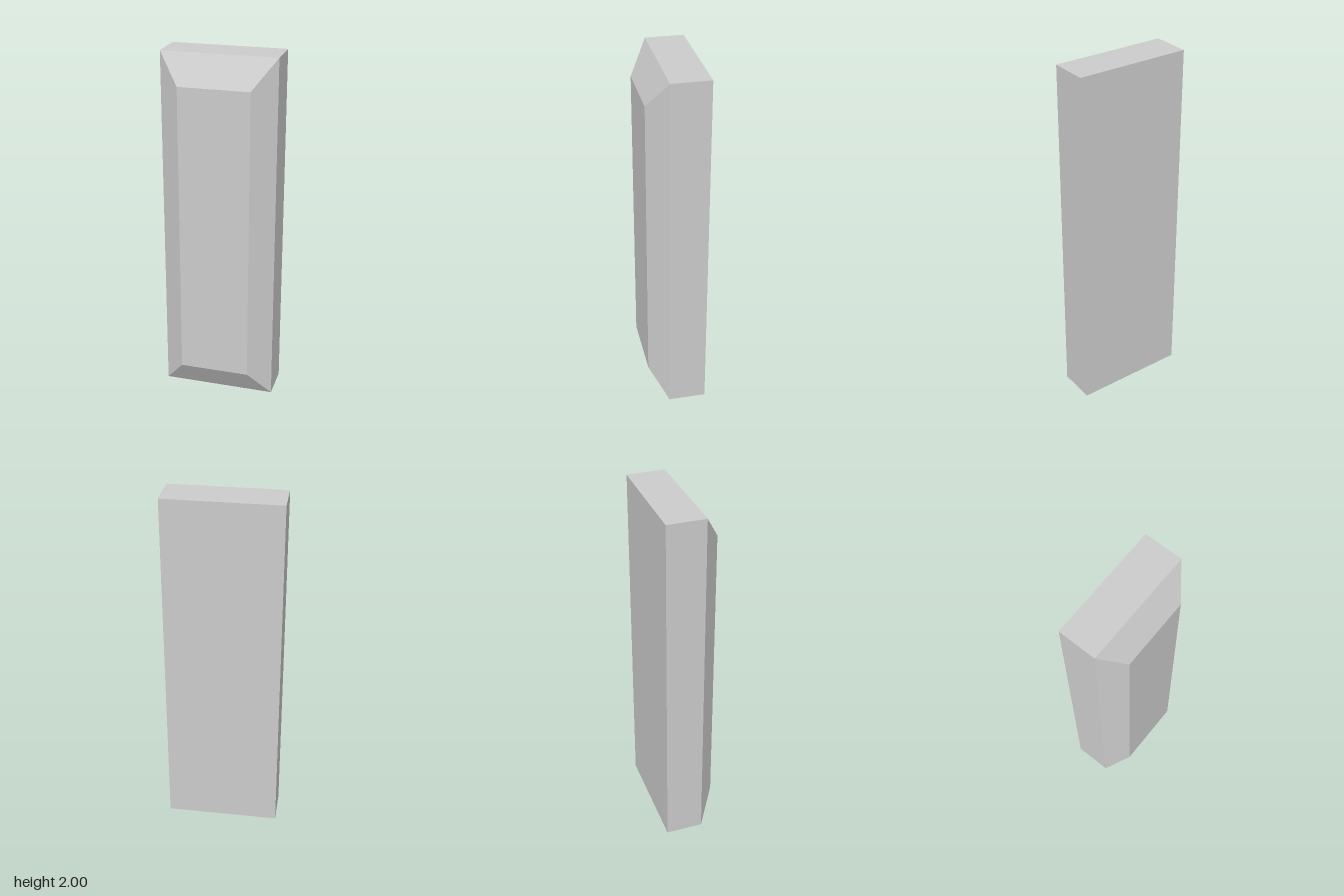
import * as THREE from 'three';

const HALF_W = 0.32, HEIGHT = 2, BACK = -0.157, SHOULDER = 0.055, FRONT = 0.157;
const INNER_HALF_W = 0.197, INNER_HALF_H = 0.838;

export function createModel() {
  const group = new THREE.Group();
  group.name = 'bevelledPanel';

  // Block with two depth segments: straight back half, chamfered front half
  const box = new THREE.BoxGeometry(HALF_W * 2, HEIGHT, 2, 1, 1, 2);
  const pos = box.attributes.position;
  for (let i = 0; i < pos.count; i++) {
    const layer = Math.round(pos.getZ(i)); // -1 back, 0 shoulder, 1 front
    pos.setZ(i, [BACK, SHOULDER, FRONT][layer + 1]);
    if (layer === 1) {
      pos.setX(i, Math.sign(pos.getX(i)) * INNER_HALF_W);
      pos.setY(i, Math.sign(pos.getY(i)) * INNER_HALF_H);
    }
  }

  // Separate the faces so every edge stays sharp
  const geometry = box.toNonIndexed();
  geometry.translate(0, HEIGHT / 2, 0);
  geometry.computeVertexNormals();

  const panel = new THREE.Mesh(
    geometry,
    new THREE.MeshStandardMaterial({ color: 0xcccccc, flatShading: true })
  );
  panel.name = 'panel';
  group.add(panel);
  return group;
}
